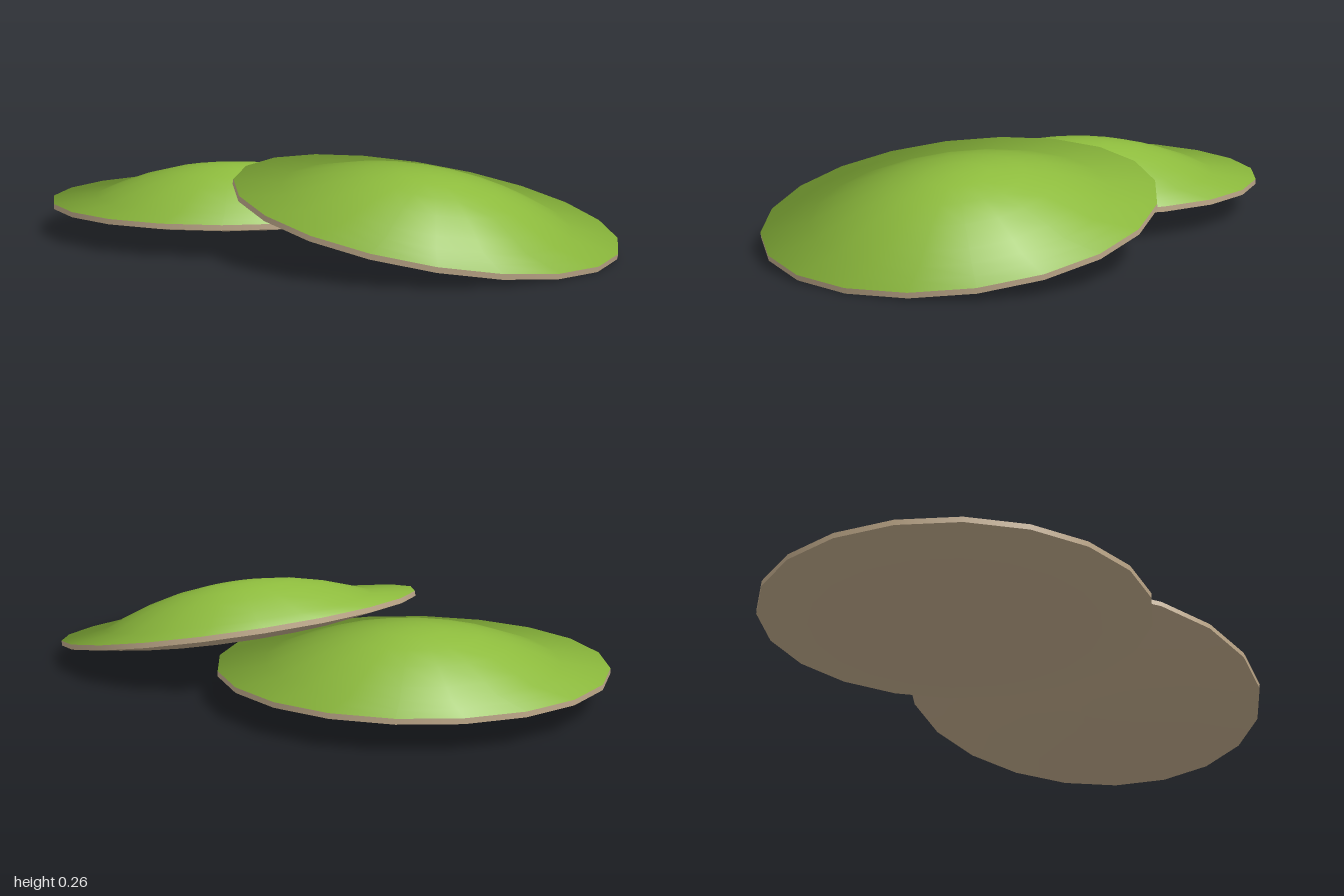
import * as THREE from 'three';

const SIDES = 20;
const RADIUS = 0.613;
const green = new THREE.MeshStandardMaterial({ color: 0x8dbb3d });
const tan = new THREE.MeshStandardMaterial({ color: 0xbfa98a });

// Revolve a profile of [radius, height] points, listed from bottom to top
function revolve(name, profile, material) {
  const points = profile.map(([r, y]) => new THREE.Vector2(r, y));
  const mesh = new THREE.Mesh(new THREE.LatheGeometry(points, SIDES), material);
  mesh.name = name;
  return mesh;
}

// One pad: domed green top with a thin flared brim, narrow rim, shallow bowl below
function createPad(name) {
  const pad = new THREE.Group();
  pad.name = name;

  const dome = revolve('dome', [
    [RADIUS, 0.009], [0.54, 0.014], [0.465, 0.02], [0.41, 0.042],
    [0.31, 0.076], [0.21, 0.1], [0.1, 0.114], [0, 0.118],
  ], green);
  // Rounded shading: normals lean outward with the radius, across the brim too
  const { position, normal } = dome.geometry.attributes;
  const n = new THREE.Vector3();
  for (let i = 0; i < position.count; i++) {
    n.set(position.getX(i), 0.4, position.getZ(i)).normalize();
    normal.setXYZ(i, n.x, n.y, n.z);
  }

  const rim = revolve('rim', [[RADIUS, -0.008], [RADIUS, 0.009]], tan);
  const underside = revolve('underside', [
    [0, -0.075], [0.2, -0.068], [0.41, -0.045], [0.53, -0.024], [RADIUS, -0.008],
  ], tan);

  pad.add(dome, rim, underside);
  return pad;
}

export function createModel() {
  const model = new THREE.Group();
  model.name = 'overlappingPads';

  // Level pad on the right
  const levelPad = createPad('levelPad');
  levelPad.position.set(-0.387, 0.1, 0);

  // Pad on the left, leaning on the level one
  const leaningPad = createPad('leaningPad');
  leaningPad.position.set(0.395, 0.128, 0);
  leaningPad.rotation.z = THREE.MathUtils.degToRad(-11);

  model.add(levelPad, leaningPad);
  return model;
}
